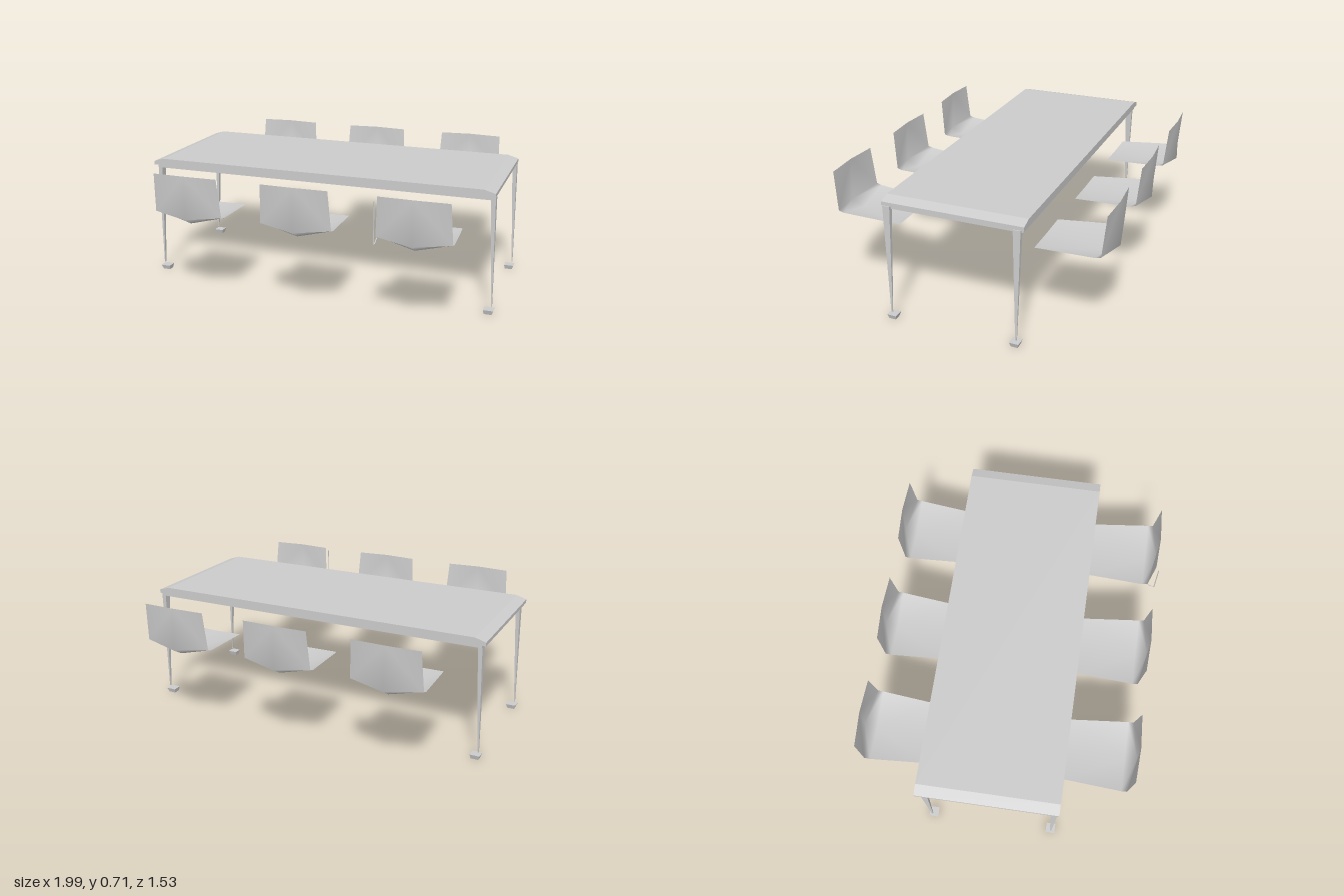
import * as THREE from 'three';

const material = new THREE.MeshStandardMaterial({ color: 0xcccccc });
const flat = new THREE.MeshStandardMaterial({ color: 0xcccccc, flatShading: true });
const thin = new THREE.MeshStandardMaterial({ color: 0xcccccc, side: THREE.DoubleSide });

function add(parent, name, geometry, mat = material) {
  const mesh = new THREE.Mesh(geometry, mat);
  mesh.name = name;
  parent.add(mesh);
  return mesh;
}

function addBox(parent, name, x0, x1, y0, y1, z0, z1) {
  const mesh = add(parent, name, new THREE.BoxGeometry(x1 - x0, y1 - y0, z1 - z0));
  mesh.position.set((x0 + x1) / 2, (y0 + y1) / 2, (z0 + z1) / 2);
}

// Four-sided taper between two points, sides facing the axes
function taper(bottom, top, wBottom, wTop, dBottom, dTop) {
  const g = new THREE.BoxGeometry(1, 1, 1);
  const p = g.attributes.position;
  for (let i = 0; i < p.count; i++) {
    const up = p.getY(i) > 0;
    const c = up ? top : bottom;
    p.setXYZ(i, c[0] + p.getX(i) * (up ? wTop : wBottom), c[1],
      c[2] + p.getZ(i) * (up ? dTop : dBottom));
  }
  g.computeVertexNormals();
  return g;
}

// Thin folded seat and back; each row: half width, side y, side z, middle y, middle z
function chairShell() {
  const rows = [
    [0.17, 0.467, 0.365, 0.465, 0.365],
    [0.195, 0.487, 0.685, 0.437, 0.69],
    [0.195, 0.495, 0.715, 0.475, 0.755],
    [0.183, 0.71, 0.735, 0.712, 0.745],
  ];
  const positions = [], index = [];
  rows.forEach(([w, ys, zs, ym, zm], r) => {
    positions.push(-w, ys, zs, 0, ym, zm, w, ys, zs);
    if (r === 0) return;
    for (let c = 0; c < 2; c++) {
      const a = (r - 1) * 3 + c, b = a + 3;
      // Fold lines run from the bottom middle to the corners
      if (c === 0) index.push(a, b, b + 1, a, b + 1, a + 1);
      else index.push(a, b, a + 1, a + 1, b, b + 1);
    }
  });
  const g = new THREE.BufferGeometry();
  g.setAttribute('position', new THREE.Float32BufferAttribute(positions, 3));
  g.setIndex(index);
  g.computeVertexNormals();
  return g;
}

export function createModel() {
  const group = new THREE.Group();
  group.name = 'diningSet';

  // Tabletop with sloped ends
  const profile = new THREE.Shape([
    [-0.998, 0.648], [0.975, 0.648], [0.975, 0.668], [0.915, 0.686], [-0.94, 0.686], [-0.998, 0.668],
  ].map(([x, y]) => new THREE.Vector2(x, y)));
  const top = new THREE.ExtrudeGeometry(profile, { depth: 0.763, bevelEnabled: false });
  top.translate(0, 0, -0.398);
  add(group, 'tabletop', top);

  // Slim rails under the top
  for (const [z0, z1] of [[0.33, 0.36], [-0.39, -0.36]])
    addBox(group, 'longRail', -0.975, 0.965, 0.632, 0.65, z0, z1);
  for (const [x0, x1] of [[-0.975, -0.95], [0.94, 0.965]])
    addBox(group, 'endRail', x0, x1, 0.632, 0.65, -0.36, 0.33);

  // Tapered legs and separate little feet
  for (const s of [-1, 1]) {
    for (const [zTop, zBottom, zFoot] of [[0.34, 0.342, 0.34], [-0.36, -0.358, -0.35]]) {
      add(group, 'leg', taper([s * 0.983, 0.04, zBottom], [s * 0.963, 0.645, zTop],
        0.005, 0.025, 0.008, 0.04), flat);
      add(group, 'foot', taper([s * 0.967, 0, zFoot], [s * 0.969, 0.025, zFoot],
        0.042, 0.055, 0.036, 0.052), flat);
    }
  }

  // Three chairs on each long side
  const shell = chairShell();
  for (const x of [-0.593, 0.022, 0.645]) {
    add(group, 'frontChair', shell, thin).position.set(x, 0, 0);
  }
  for (const x of [-0.61, 0.002, 0.62]) {
    const chair = add(group, 'backChair', shell, thin);
    chair.position.set(x, 0, -0.012);
    chair.rotation.y = Math.PI;
  }

  // Loose thin strut behind one front chair
  const strut = new THREE.CurvePath();
  const pts = [[0.452, 0.69, 0.752], [0.452, 0.455, 0.758], [0.455, 0.49, 0.71]]
    .map((p) => new THREE.Vector3(...p));
  strut.add(new THREE.LineCurve3(pts[0], pts[1]));
  strut.add(new THREE.LineCurve3(pts[1], pts[2]));
  add(group, 'chairStrut', new THREE.TubeGeometry(strut, 8, 0.003, 4), flat);

  return group;
}
